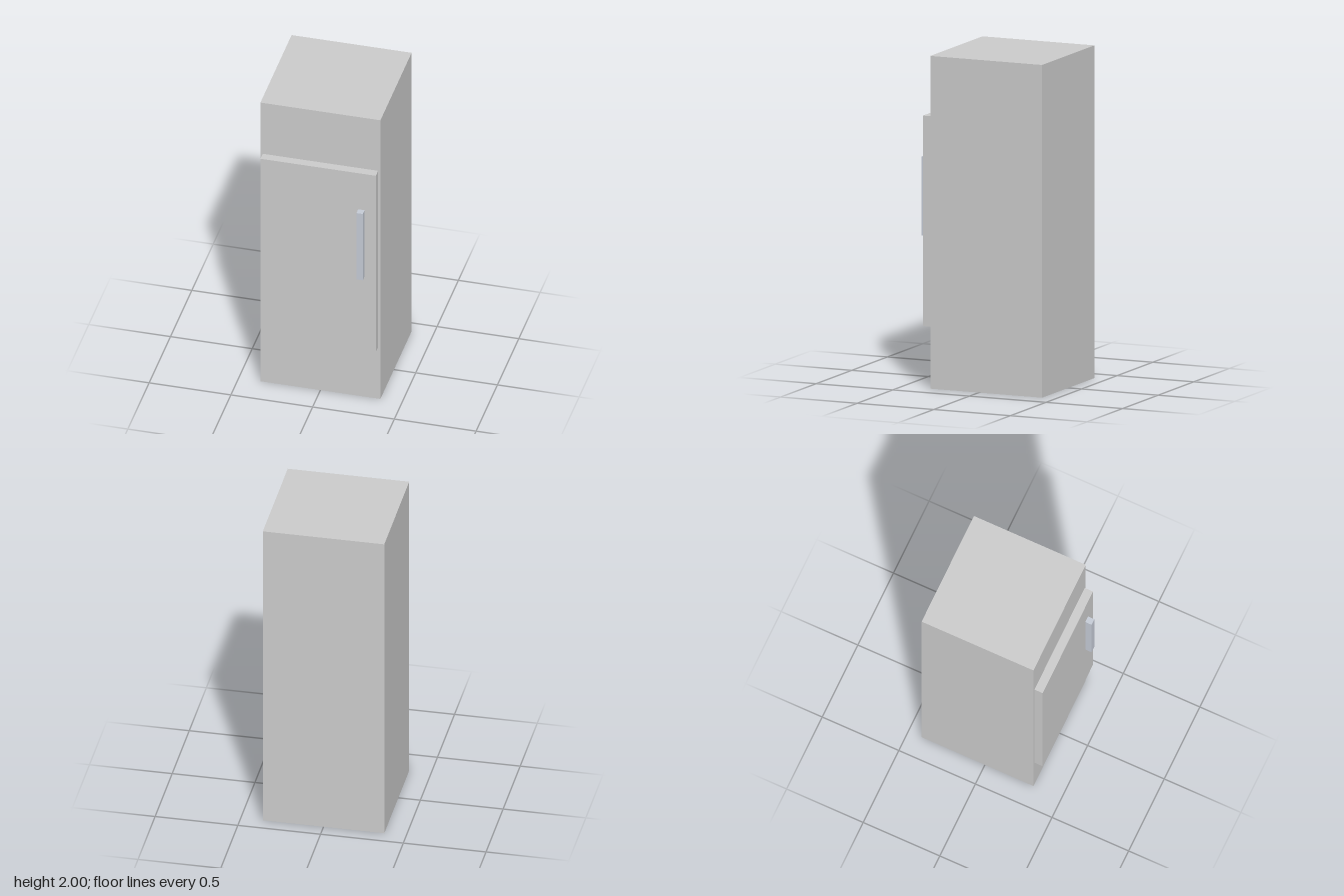
import * as THREE from 'three';

// Box given by its min and max corners
function box(name, [x0, y0, z0], [x1, y1, z1], color = 0xcccccc) {
  const mesh = new THREE.Mesh(
    new THREE.BoxGeometry(x1 - x0, y1 - y0, z1 - z0),
    new THREE.MeshStandardMaterial({ color })
  );
  mesh.position.set((x0 + x1) / 2, (y0 + y1) / 2, (z0 + z1) / 2);
  mesh.name = name;
  return mesh;
}

export function createModel() {
  const group = new THREE.Group();
  group.name = 'cabinet';
  const frontZ = 0.317, doorZ = 0.371;
  group.add(
    // Tall cabinet body
    box('body', [-0.367, 0, -0.413], [0.367, 2, frontZ]),
    // Door panel standing proud of the front
    box('door', [-0.353, 0.37, frontZ], [0.353, 1.635, doorZ]),
    // Vertical bar handle with a cool tint
    box('handle', [0.245, 0.9, doorZ], [0.284, 1.376, 0.412], 0xc5cbd6)
  );
  return group;
}
